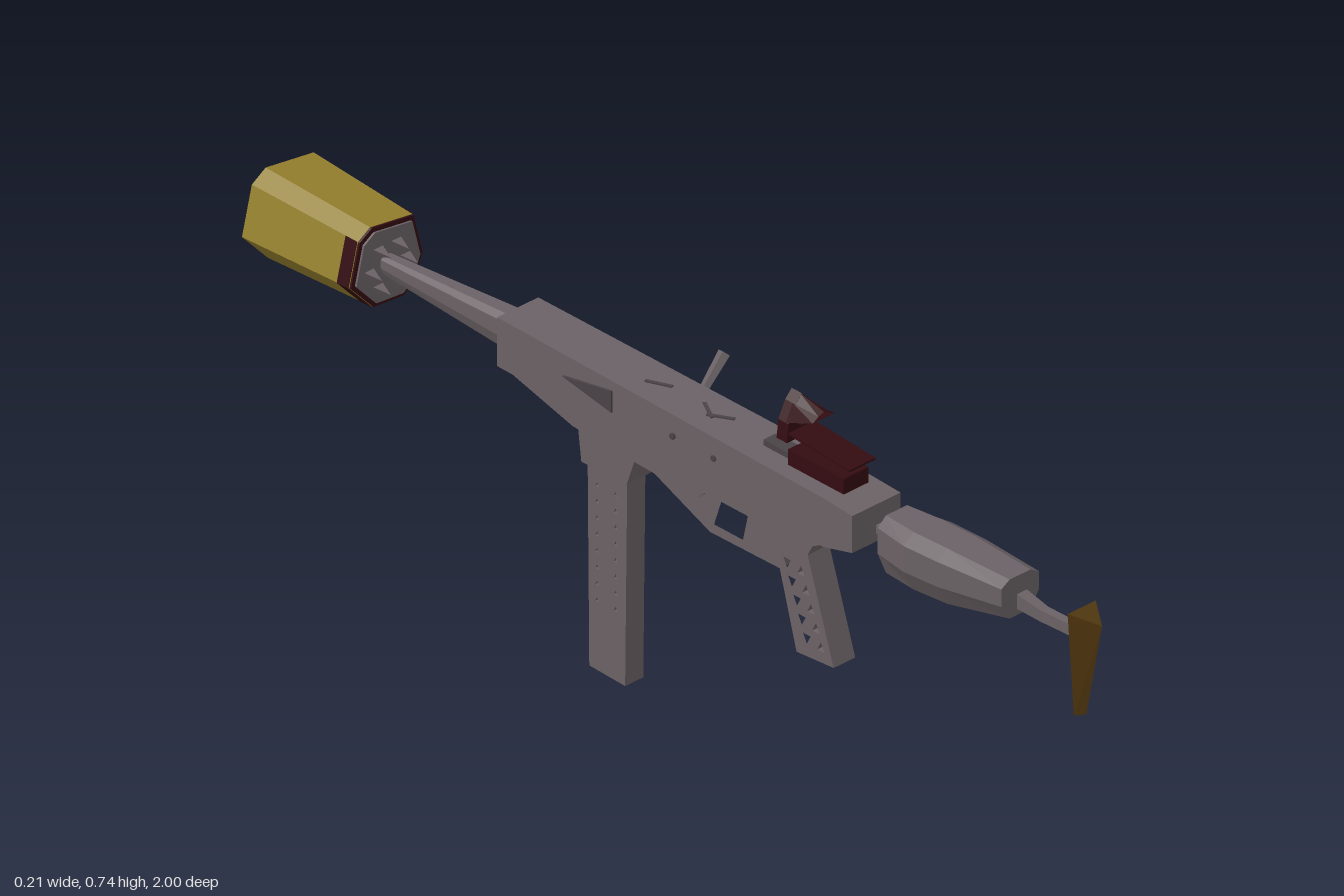
import * as THREE from 'three';
import { ConvexGeometry } from 'three/addons/geometries/ConvexGeometry.js';

const mat = (name, color, side = THREE.FrontSide) => {
  const m = new THREE.MeshStandardMaterial({ color, flatShading: true, side });
  m.name = name;
  return m;
};

// closed loft through rings [z, [[x,y]...]] listed from high z to low z, corners counter-clockwise
function loft(rings, capStart = true, capEnd = true) {
  const p = [];
  const tri = (...v) => v.forEach(([z, [x, y]]) => p.push(x, y, z));
  const at = (r, i) => [r[0], r[1][i % r[1].length]];
  const n = rings[0][1].length;
  for (let k = 0; k < rings.length - 1; k++) {
    const a = rings[k], b = rings[k + 1];
    for (let i = 0; i < n; i++) {
      tri(at(a, i), at(b, i), at(a, i + 1));
      tri(at(a, i + 1), at(b, i), at(b, i + 1));
    }
  }
  const first = rings[0], last = rings[rings.length - 1];
  for (let i = 1; i < n - 1; i++) {
    if (capStart) tri(at(first, 0), at(first, i), at(first, i + 1));
    if (capEnd) tri(at(last, 0), at(last, i + 1), at(last, i));
  }
  const g = new THREE.BufferGeometry();
  g.setAttribute('position', new THREE.Float32BufferAttribute(p, 3));
  g.computeVertexNormals();
  return g;
}
const rect = (x0, x1, y0, y1) => [[x0, y0], [x1, y0], [x1, y1], [x0, y1]];
// section with a bevelled belly
const belly = (x0, x1, y0, y1) => {
  const m = (x1 - x0) * 0.22, yl = y0 + (y1 - y0) * 0.4, yh = y1 - (y1 - y0) * 0.15;
  return [[x0 + m, y0], [x1 - m, y0], [x1, yl], [x1, yh], [x1 - m, y1], [x0 + m, y1], [x0, yh], [x0, yl]];
};
const poly = (C, pts) => new C(pts.map(([a, b]) => new THREE.Vector2(a, b)));

// side profile in (z, y), extruded across x
function sideExtrude(pts, x0, x1, holes = []) {
  const s = poly(THREE.Shape, pts);
  holes.forEach(h => s.holes.push(poly(THREE.Path, h)));
  const g = new THREE.ExtrudeGeometry(s, { depth: x1 - x0, bevelEnabled: false });
  return g.rotateY(-Math.PI / 2).translate(x1, 0, 0);
}
const tri = (z, y, r, flip = 1) => [[z - r, y - r * flip], [z + r, y - r * flip], [z, y + r * flip]];

export function createModel() {
  const root = new THREE.Group();
  const metal = mat('gunmetal', 0x6a6165);
  const shadowMetal = mat('dark metal', 0x4a4347);
  const gold = mat('mustard', 0x94802d);
  const brown = mat('brown', 0x50370f);
  const red = mat('dark maroon', 0x330b11, THREE.DoubleSide);
  const glass = mat('pale glass', 0xd4d6d8, THREE.DoubleSide);
  const add = (name, geo, m) => {
    const mesh = new THREE.Mesh(geo, m);
    mesh.name = name;
    root.add(mesh);
    return mesh;
  };

  // butt plate: wedge tapering downwards
  add('buttPlate', new ConvexGeometry([
    [-0.035, 0.613, 0.95], [0.03, 0.613, 0.95], [-0.003, 0.598, 1.0],
    [-0.016, 0.405, 0.945], [0.01, 0.405, 0.945], [-0.003, 0.41, 0.962],
  ].map(v => new THREE.Vector3(...v))), brown);

  // stock rod, stock body and its connector
  add('stockRod', loft([[0.96, rect(-0.01, 0.004, 0.553, 0.575)], [0.86, rect(-0.012, 0.006, 0.55, 0.572)],
    [0.79, rect(-0.015, 0.01, 0.553, 0.583)]]), metal);
  add('stockBody', loft([[0.805, belly(-0.05, 0.037, 0.54, 0.616)], [0.66, belly(-0.06, 0.05, 0.508, 0.616)],
    [0.58, belly(-0.062, 0.05, 0.502, 0.614)], [0.505, belly(-0.05, 0.037, 0.5, 0.612)]]), metal);
  add('stockConnector', loft([[0.51, rect(-0.015, 0.006, 0.555, 0.575)], [0.455, rect(-0.013, 0.004, 0.55, 0.566)]]), metal);

  // receiver
  add('receiver', loft([[0.462, rect(-0.068, 0.044, 0.535, 0.607)], [0.39, rect(-0.066, 0.044, 0.515, 0.61)],
    [-0.415, rect(-0.053, 0.042, 0.515, 0.61)]]), metal);
  add('lowerReceiver', sideExtrude([[0.4, 0.52], [0.33, 0.48], [0.24, 0.478], [0.08, 0.478], [0.06, 0.46], [-0.1, 0.465],
    [-0.24, 0.47], [-0.415, 0.515], [-0.415, 0.522]], -0.045, 0.033), metal);
  add('triggerGuard', sideExtrude([[0.245, 0.48], [0.245, 0.395], [0.075, 0.393], [-0.1, 0.465], [-0.1, 0.48]], -0.028, 0.02,
    [[[0.17, 0.477], [0.155, 0.412], [0.085, 0.412], [0.107, 0.477]]]), metal);
  add('trigger', sideExtrude([[0.17, 0.48], [0.145, 0.43], [0.15, 0.425], [0.2, 0.48]], -0.01, 0.002), shadowMetal);

  // pistol grip with triangular cut-outs
  const gripHoles = [];
  for (let r = 0; r < 5; r++)
    for (const s of [-1, 1]) gripHoles.push(tri(0.327 - r * 0.012 + s * 0.017, 0.285 + r * 0.032, 0.009, s));
  add('grip', sideExtrude([[0.375, 0.257], [0.285, 0.25], [0.24, 0.41], [0.24, 0.485], [0.33, 0.485], [0.312, 0.45]],
    -0.028, 0.022, gripHoles), metal);

  // magazine well and magazine with two columns of small openings
  add('magazineWell', sideExtrude([[-0.1, 0.47], [-0.125, 0.4], [-0.235, 0.397], [-0.245, 0.475]], -0.03, 0.025), metal);
  const magHoles = [];
  for (let r = 0; r < 8; r++)
    for (const z of [-0.158, -0.203]) magHoles.push(tri(z, 0.14 + r * 0.032, 0.0045));
  add('magazine', sideExtrude([[-0.135, 0], [-0.222, 0.003], [-0.226, 0.4], [-0.13, 0.4]], -0.024, 0.018, magHoles), metal);
  for (const s of [-1, 1])
    add('magazineCatch', new THREE.ConeGeometry(0.01, 0.03, 3).translate(-0.003 + s * 0.024, 0.367, -0.145), metal);

  // ejection ports and pins on both flanks
  for (const x of [-0.061, 0.04]) {
    add('ejectionPort', sideExtrude([[-0.13, 0.592], [-0.25, 0.57], [-0.13, 0.55]], x, x + 0.005), shadowMetal);
    for (const z of [0.42, 0.12, 0.02])
      add('pin', new THREE.CylinderGeometry(0.006, 0.006, 0.008, 6).rotateZ(Math.PI / 2).translate(x, 0.57, z), shadowMetal);
  }
  // shallow marks along the top
  [[0.08, 0.5], [0.05, -0.5], [-0.07, 0.4]].forEach(([z, a]) =>
    add('topSlot', new THREE.BoxGeometry(0.006, 0.004, 0.05).rotateY(a).translate(-0.008, 0.611, z), shadowMetal));

  // charging handle
  add('chargingHandle', new THREE.CylinderGeometry(0.012, 0.008, 0.085, 5).rotateZ(-0.75).translate(0.07, 0.617, -0.022), metal);

  // barrel
  add('barrel', loft([[-0.41, belly(-0.034, 0.016, 0.53, 0.602)], [-0.76, belly(-0.022, 0.004, 0.545, 0.577)]]), metal);

  // muzzle can: faceted shell that widens to the back
  const outline = [[-0.1, 0.54], [-0.04, 0.475], [0.04, 0.468], [0.066, 0.488], [0.09, 0.545], [0.066, 0.637], [-0.045, 0.653], [-0.077, 0.633]];
  const scaled = k => outline.map(([x, y]) => [-0.005 + (x + 0.005) * k, 0.558 + (y - 0.558) * k]);
  add('muzzleCan', loft([[-0.737, scaled(0.88)], [-0.985, scaled(1)], [-1.0, scaled(0.6)]]), gold);
  add('muzzleRim', loft([[-0.733, scaled(0.87)], [-0.738, scaled(0.87)]]), red);
  add('muzzleFace', loft([[-0.729, scaled(0.78)], [-0.735, scaled(0.78)]]), metal);
  for (let i = 0; i < 6; i++) {
    const a = i * Math.PI / 3;
    add('muzzleBaffle', new THREE.ConeGeometry(0.014, 0.035, 3).rotateX(Math.PI / 2)
      .translate(-0.008 + 0.042 * Math.cos(a), 0.558 + 0.042 * Math.sin(a), -0.715), metal);
  }
  add('muzzleBore', new THREE.CylinderGeometry(0.036, 0.036, 0.006, 16).rotateX(Math.PI / 2).translate(-0.005, 0.56, -0.9985), red);
  // dark patches at the front edge of the can
  add('muzzlePatch', loft([[-0.738, scaled(0.892)], [-0.765, scaled(0.902)]].map(([z, p]) => [z, [p[3], p[4], p[5]]])), red);
  add('muzzlePatch', loft([[-0.738, scaled(0.892)], [-0.765, scaled(0.902)]].map(([z, p]) => [z, [p[7], p[0], p[1]]])), red);

  // sight: base, rail, thin floating cover
  add('sightBase', new THREE.BoxGeometry(0.058, 0.03, 0.135).translate(-0.004, 0.625, 0.337), red);
  add('sightRail', new THREE.BoxGeometry(0.03, 0.012, 0.08).translate(-0.004, 0.615, 0.235), shadowMetal);
  add('sightCover', new THREE.BoxGeometry(0.06, 0.004, 0.16).rotateX(0.06).translate(-0.004, 0.667, 0.34), red);

  // sight hood: pointed arch with a lens behind and a sloped visor
  const arch = [[-0.038, 0.655], [0.03, 0.655], [0.027, 0.69], [0.012, 0.722], [-0.003, 0.738], [-0.018, 0.722], [-0.034, 0.69]];
  const hood = poly(THREE.Shape, arch);
  hood.holes.push(poly(THREE.Path, [[-0.003, 0.675], [0.009, 0.702], [-0.003, 0.72], [-0.015, 0.702]]));
  add('sightHood', new THREE.ExtrudeGeometry(hood, { depth: 0.025, bevelEnabled: false }).translate(0, 0, 0.247), red);
  const visor = arch.slice(2);
  add('sightVisor', loft([[0.325, visor.map(([x, y]) => [x * 0.85, 0.712 + (y - 0.69) * 0.25])], [0.265, visor]], false, false), red);
  add('sightLens', new THREE.ShapeGeometry(poly(THREE.Shape, arch.map(([x, y]) => [-0.003 + (x + 0.003) * 0.85, 0.695 + (y - 0.695) * 0.85])))
    .translate(0, 0, 0.245), glass);

  return root;
}
